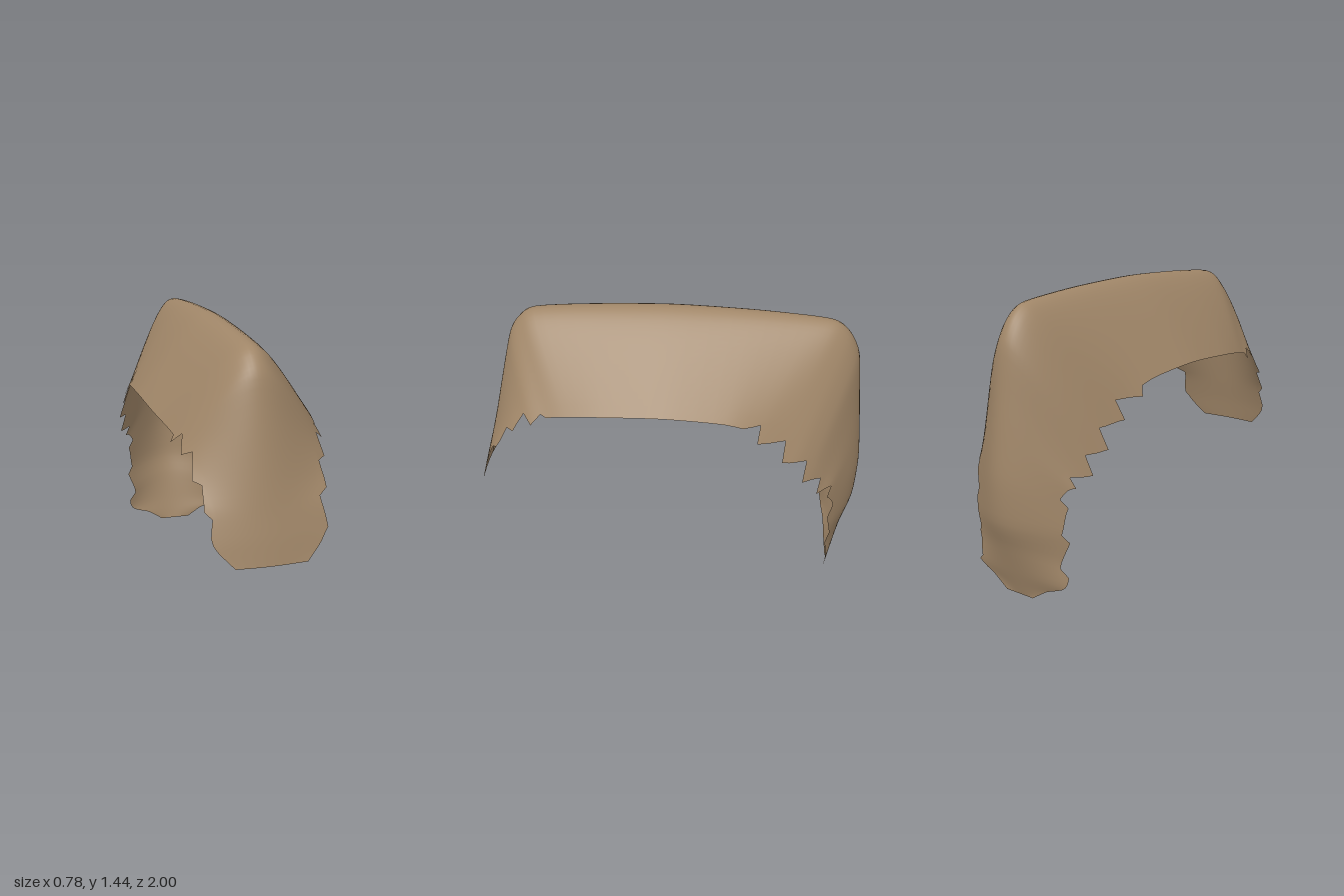
import * as THREE from 'three';

// Each station: spine z, y | edge half width, y, z | ridge roundness
const stations = [
  [1.0, 0.465, 0.17, 0.465, 0.99, 0.8],
  [0.975, 0.58, 0.26, 0.57, 0.95, 0.8],
  [0.945, 0.70, 0.27, 0.71, 0.90, 0.7],
  [0.91, 0.85, 0.295, 0.81, 0.83, 0.6],
  [0.86, 1.07, 0.31, 0.91, 0.75, 0.5],
  [0.81, 1.27, 0.33, 0.96, 0.67, 0.38],
  [0.76, 1.35, 0.345, 0.98, 0.58, 0.3],
  [0.68, 1.40, 0.36, 1.0, 0.48, 0.27],
  [0.40, 1.425, 0.38, 1.02, 0.30, 0.25],
  [0.0, 1.44, 0.39, 1.035, 0.0, 0.25],
  [-0.40, 1.43, 0.375, 1.01, -0.30, 0.25],
  [-0.70, 1.41, 0.36, 0.96, -0.45, 0.25],
  [-0.82, 1.39, 0.355, 0.89, -0.55, 0.25],
  [-0.89, 1.33, 0.355, 0.80, -0.65, 0.25],
  [-0.94, 1.22, 0.345, 0.71, -0.72, 0.27],
  [-0.965, 1.0, 0.32, 0.63, -0.78, 0.3],
  [-0.985, 0.80, 0.29, 0.59, -0.83, 0.35],
  [-1.0, 0.60, 0.275, 0.50, -0.85, 0.45],
  [-0.99, 0.40, 0.285, 0.36, -0.85, 0.55],
  [-0.95, 0.27, 0.265, 0.22, -0.85, 0.6],
  [-0.91, 0.13, 0.275, 0.10, -0.85, 0.7],
  [-0.885, 0.05, 0.17, 0.055, -0.865, 0.8],
  [-0.87, 0.0, 0.085, 0.0, -0.87, 0.8],
];

// Rounded V used across the cloth: 0 on the ridge, 1 at the edge
const drape = (t, a) => (Math.hypot(t, a) - a) / (Math.hypot(1, a) - a);

// Torn edge: sawtooth on the front and rear flaps, clean along the flanks
function tear(u, row, side) {
  const torn = (u > 0.05 && u < 0.27) || (u > 0.48 && u < 0.92);
  if (!torn) return 0;
  const step = (row + (side > 0 ? 0 : 2)) % 5;
  return [0.06, 0.03, 0, -0.03, -0.06][step];
}

function clothGeometry(rows = 88, cols = 36) {
  const curve = (pick) => new THREE.CatmullRomCurve3(stations.map(pick), false, 'catmullrom', 0.4);
  const spine = curve((s) => new THREE.Vector3(s[5], s[1], s[0]));
  const edge = curve((s) => new THREE.Vector3(s[2], s[3], s[4]));
  const positions = [];
  const indices = [];
  for (let i = 0; i <= rows; i++) {
    const u = i / rows;
    const c = spine.getPoint(u);
    const e = edge.getPoint(u);
    for (let j = 0; j <= cols; j++) {
      const k = (2 * j) / cols - 1;
      const isRim = j === 0 || j === cols;
      const t = k * (1 + (isRim ? tear(u, i, k) : -0.04));
      const f = drape(t, c.x);
      positions.push(
        e.x * t - 0.015 * Math.max(0, 1 - t * t),
        c.y + (e.y - c.y) * f,
        c.z + (e.z - c.z) * f,
      );
      if (i < rows && j < cols) {
        const a = i * (cols + 1) + j;
        const b = a + cols + 1;
        indices.push(a, a + 1, b, a + 1, b + 1, b);
      }
    }
  }
  const geometry = new THREE.BufferGeometry();
  geometry.setAttribute('position', new THREE.Float32BufferAttribute(positions, 3));
  geometry.setIndex(indices);
  geometry.computeVertexNormals();
  return geometry;
}

export function createModel() {
  const group = new THREE.Group();
  group.name = 'drapedCover';
  const cloth = new THREE.MeshStandardMaterial({ color: 0xa08668, side: THREE.DoubleSide });
  cloth.name = 'tan cloth';
  const cover = new THREE.Mesh(clothGeometry(), cloth);
  cover.name = 'tornClothSheet';
  group.add(cover);
  return group;
}
